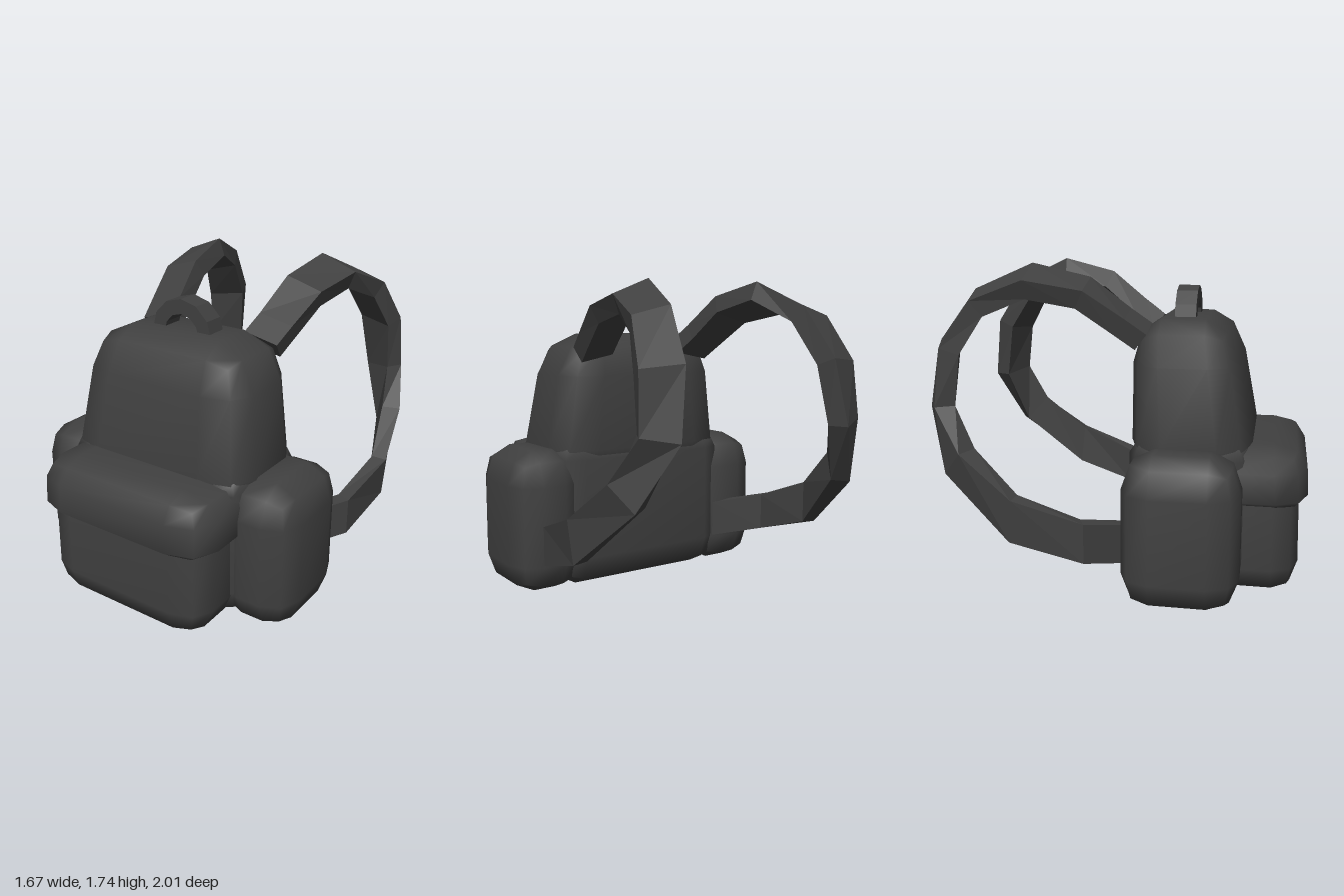
import * as THREE from 'three';
import { mergeVertices } from 'three/addons/utils/BufferGeometryUtils.js';

const fabric = new THREE.MeshStandardMaterial({ color: 0x404040 });
fabric.name = 'charcoal fabric';

// Box with two-step rounded edges; min/max corners, radii per axis (separate bottom and top), optional reshaping rule
function softBox([x0, y0, z0], [x1, y1, z1], { rx, rz, bottom, top }, rule) {
  let g = new THREE.BoxGeometry(2, 2, 2, 3, 3, 3);
  g.deleteAttribute('uv');
  g.deleteAttribute('normal');
  g = mergeVertices(g, 1e-4);
  const p = g.attributes.position;
  const v = new THREE.Vector3();
  const d = new THREE.Vector3();
  const bend = (c) => Math.sign(c) * Math.max(0, Math.abs(c) - 1 / 3);
  for (let i = 0; i < p.count; i++) {
    v.fromBufferAttribute(p, i);
    d.set(bend(v.x), bend(v.y), bend(v.z)).normalize();
    const place = (side, lo, hi, rLo, rHi, n) => (side > 0 ? hi - rHi + n * rHi : lo + rLo + n * rLo);
    v.set(
      place(v.x, x0, x1, rx, rx, d.x),
      place(v.y, y0, y1, bottom, top, d.y),
      place(v.z, z0, z1, rz, rz, d.z)
    );
    if (rule) rule(v);
    p.setXYZ(i, v.x, v.y, v.z);
  }
  g.computeVertexNormals();
  return g;
}

// Strap stations: centre x, y, z, then the vector across the band
const STRAP = [
  [0.335, 1.36, 0.11, 0.2, -0.04, 0],
  [0.36, 1.44, 0.0, 0.2, -0.04, 0],
  [0.4, 1.59, -0.2, 0.21, -0.06, 0],
  [0.44, 1.65, -0.48, 0.21, -0.08, 0],
  [0.51, 1.54, -0.73, 0.2, -0.05, 0.03],
  [0.56, 1.31, -0.88, 0.21, -0.02, 0.07],
  [0.59, 1.0, -0.92, 0.17, 0.03, 0.09],
  [0.69, 0.73, -0.8, 0.08, 0.13, 0.11],
  [0.78, 0.465, -0.49, 0.02, 0.23, 0.02],
  [0.74, 0.35, -0.14, 0, 0.21, 0],
  [0.53, 0.285, 0.1, 0, 0.21, 0],
];

// Twisting band of rectangular section swept through the stations
function strap(side) {
  const centres = STRAP.map((s) => new THREE.Vector3(side * s[0], s[1], s[2]));
  const pos = [];
  const idx = [];
  const last = STRAP.length - 1;
  STRAP.forEach((s, i) => {
    const w = new THREE.Vector3(side * s[3], s[4], s[5]).multiplyScalar(0.5);
    const tangent = centres[Math.min(i + 1, last)].clone().sub(centres[Math.max(i - 1, 0)]);
    const n = tangent.cross(w).setLength(i < 8 ? 0.053 : 0.042);
    for (const [a, b] of [[-1, -1], [1, -1], [1, 1], [-1, 1]]) {
      const c = centres[i].clone().addScaledVector(w, a).addScaledVector(n, b);
      pos.push(c.x, c.y, c.z);
    }
    if (i === last) return;
    for (let k = 0; k < 4; k++) {
      const a = i * 4 + k, b = i * 4 + ((k + 1) % 4);
      idx.push(a, b, b + 4, a, b + 4, a + 4);
    }
  });
  const e = last * 4;
  idx.push(0, 2, 1, 0, 3, 2, e, e + 1, e + 2, e, e + 2, e + 3);
  const g = new THREE.BufferGeometry();
  g.setAttribute('position', new THREE.Float32BufferAttribute(pos, 3));
  g.setIndex(idx);
  const flat = g.toNonIndexed();
  flat.computeVertexNormals();
  return flat;
}

// Half-ring grab handle with short legs sunk into the top
function handle() {
  const shape = new THREE.Shape();
  const steps = 6;
  const arc = (r, i) => [r * Math.cos((i * Math.PI) / steps), 1.42 + r * Math.sin((i * Math.PI) / steps)];
  shape.moveTo(0.19, 1.36);
  for (let i = 0; i <= steps; i++) shape.lineTo(...arc(0.19, i));
  shape.lineTo(-0.19, 1.36);
  shape.lineTo(-0.11, 1.36);
  for (let i = steps; i >= 0; i--) shape.lineTo(...arc(0.11, i));
  shape.lineTo(0.11, 1.36);
  const g = new THREE.ExtrudeGeometry(shape, { depth: 0.115, bevelEnabled: false });
  g.translate(0, 0, 0.255);
  return g;
}

export function createModel() {
  const model = new THREE.Group();
  model.name = 'backpack';
  const add = (name, geometry) => {
    const mesh = new THREE.Mesh(geometry, fabric);
    mesh.name = name;
    model.add(mesh);
  };

  // Main compartment: straight base and an upper part tapering towards the top
  add('lowerBody', softBox([-0.57, 0, 0.05], [0.57, 0.85, 0.7], { rx: 0.15, rz: 0.15, bottom: 0.18, top: 0.1 }));
  add('upperBody', softBox([-0.57, 0.6, 0.05], [0.57, 1.45, 0.7], { rx: 0.24, rz: 0.18, bottom: 0.2, top: 0.23 }, (v) => {
    const t = Math.max(0, v.y - 0.8);
    v.x *= 1 - t * 0.25;
    v.z = 0.05 + (v.z - 0.05) * (1 - t * 0.29);
  }));

  // Front pocket and its overhanging flap
  add('frontPocket', softBox([-0.51, 0, 0.45], [0.51, 0.75, 0.96], { rx: 0.18, rz: 0.14, bottom: 0.16, top: 0.1 }, (v) => {
    v.z -= v.y * 0.02;
  }));
  add('frontFlap', softBox([-0.555, 0.49, 0.4], [0.555, 0.81, 1.0], { rx: 0.21, rz: 0.17, bottom: 0.05, top: 0.12 }, (v) => {
    v.x *= 1 - (v.y - 0.49) * 0.04;
    v.z -= (v.y - 0.49) * 0.06;
  }));

  add('handle', handle());

  // Side pockets and shoulder straps, mirrored
  for (const [side, label] of [[1, 'left'], [-1, 'right']]) {
    const xs = [side * 0.4, side * 0.833].sort((a, b) => a - b);
    add(label + 'SidePocket', softBox([xs[0], 0, 0.05], [xs[1], 0.81, 0.66], { rx: 0.15, rz: 0.16, bottom: 0.17, top: 0.19 }));
    add(label + 'ShoulderStrap', strap(side));
  }
  return model;
}
